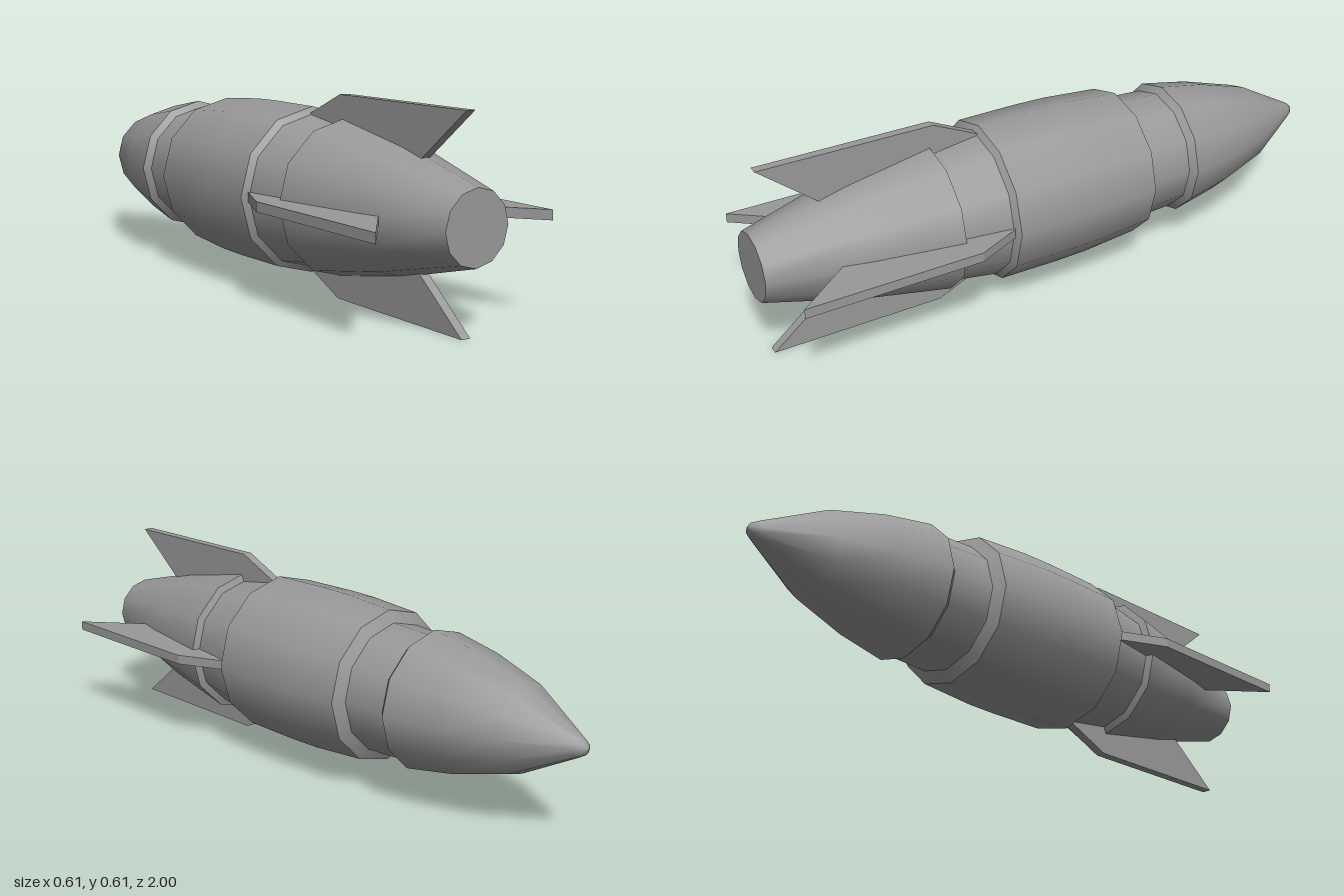
import * as THREE from 'three';

const SIDES = 12, AXIS_Y = 0.305;
const material = new THREE.MeshStandardMaterial({ color: 0x999999 });

// Hull band turned around the z axis; profile is [radius, z] from nose to tail
function band(name, profile) {
  const points = profile.map(([r, z]) => new THREE.Vector2(r, z));
  const geometry = new THREE.LatheGeometry(points, SIDES).rotateX(Math.PI / 2);
  const mesh = new THREE.Mesh(geometry, material);
  mesh.name = name;
  return mesh;
}

// Swept fin, root sunk into the hull
function finGeometry() {
  const outline = [[0.2, 0.26], [0.237, 0.26], [0.305, 0.41], [0.305, 0.965], [0.162, 0.79], [0.138, 0.76]];
  const shape = new THREE.Shape(outline.map(([r, z]) => new THREE.Vector2(r, z)));
  const thickness = 0.03;
  return new THREE.ExtrudeGeometry(shape, { depth: thickness, bevelEnabled: false })
    .translate(0, 0, -thickness / 2)
    .rotateX(Math.PI / 2);
}

export function createModel() {
  const model = new THREE.Group();
  model.name = 'rocket';
  const rocket = new THREE.Group();
  rocket.name = 'rocketBody';
  rocket.position.y = AXIS_Y;
  model.add(rocket);

  // Hull bands and the narrow steps between them, kept separate for crisp rims
  rocket.add(
    band('noseCone', [[0, -1], [0.018, -0.993], [0.031, -0.972], [0.135, -0.78], [0.188, -0.6], [0.218, -0.435]]),
    band('noseRim', [[0.218, -0.435], [0.198, -0.415]]),
    band('neck', [[0.198, -0.415], [0.205, -0.27]]),
    band('frontRim', [[0.205, -0.27], [0.242, -0.25]]),
    band('mainHull', [[0.242, -0.25], [0.256, -0.06], [0.258, 0.05], [0.256, 0.25]]),
    band('rearRim', [[0.256, 0.25], [0.237, 0.265]]),
    band('rearNeck', [[0.237, 0.265], [0.215, 0.415]]),
    band('tailRim', [[0.215, 0.415], [0.237, 0.424]]),
    band('tailCone', [[0.237, 0.424], [0.186, 0.7], [0.108, 1]]),
    band('tailCap', [[0.108, 1], [0, 1]])
  );

  // Four fins around the tail
  const geometry = finGeometry();
  ['leftFin', 'topFin', 'rightFin', 'bottomFin'].forEach((name, i) => {
    const fin = new THREE.Mesh(geometry, material);
    fin.name = name;
    fin.rotation.z = i * Math.PI / 2;
    rocket.add(fin);
  });
  return model;
}
